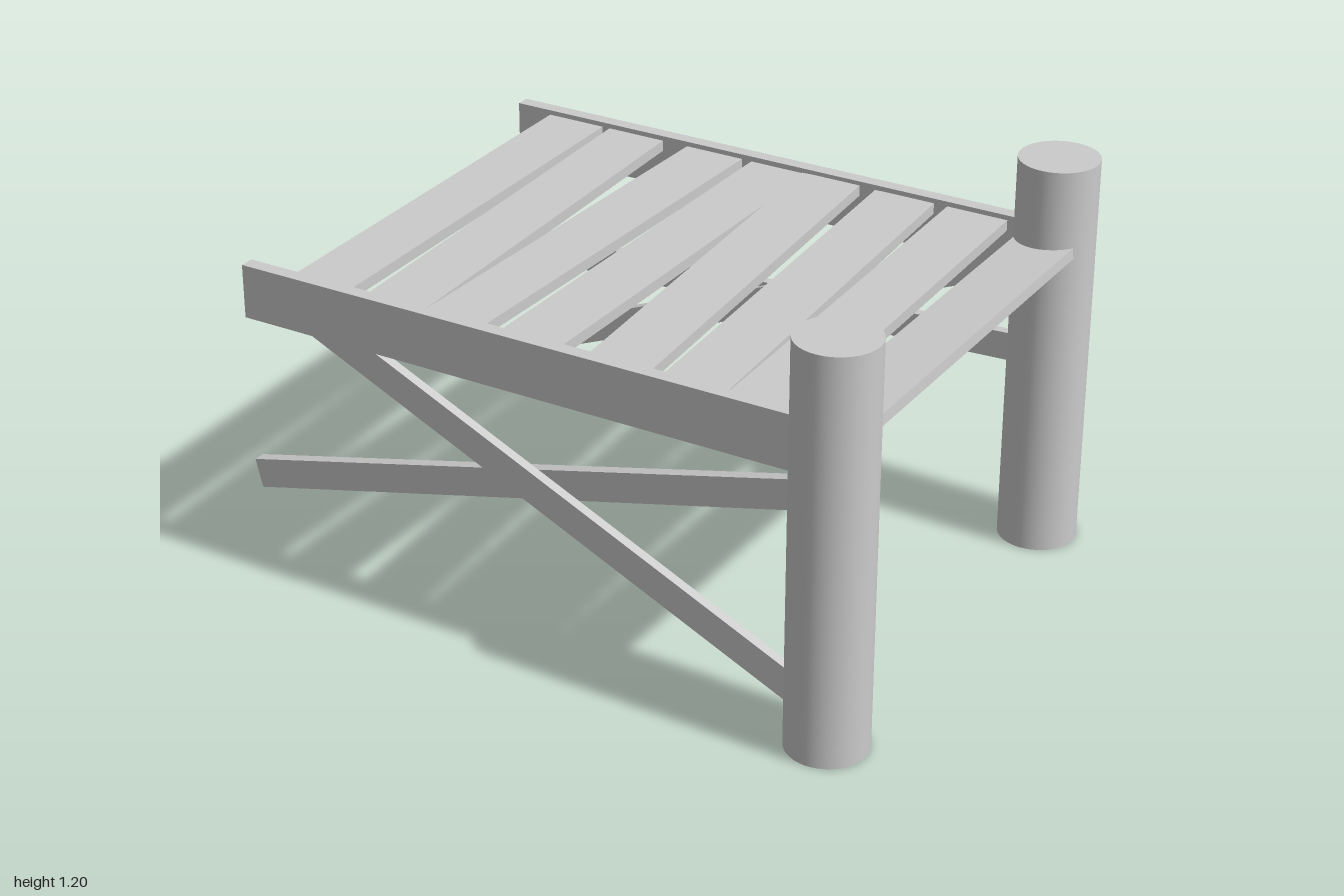
import * as THREE from 'three';

export function createModel() {
  const model = new THREE.Group();
  const mat = new THREE.MeshStandardMaterial({ color: 0xcccccc });

  const add = (name, geometry) => {
    const mesh = new THREE.Mesh(geometry, mat);
    mesh.name = name;
    model.add(mesh);
    return mesh;
  };

  // A rectangular board running along its local x axis between two points
  const board = (name, from, to, height, depth) => {
    const a = new THREE.Vector3(...from), b = new THREE.Vector3(...to);
    const along = b.clone().sub(a);
    const mesh = add(name, new THREE.BoxGeometry(along.length(), height, depth));
    mesh.position.copy(a).add(b).multiplyScalar(0.5);
    const x = along.normalize();
    const z = x.clone().cross(new THREE.Vector3(0, 1, 0)).normalize();
    const y = z.clone().cross(x);
    mesh.quaternion.setFromRotationMatrix(new THREE.Matrix4().makeBasis(x, y, z));
    return mesh;
  };

  // Round posts and side rails, front and back
  for (const [side, s] of [['front', 1], ['back', -1]]) {
    const post = add(side + 'Post', new THREE.CylinderGeometry(0.117, 0.117, 1.2, 40));
    post.position.set(0.88, 0.6, s * 0.657);
    const rail = add(side + 'Rail', new THREE.BoxGeometry(1.72, 0.16, 0.042));
    rail.position.set(-0.08, 0.9, s * 0.692);
  }

  // Deck planks: centre x at the back end, centre x at the front end, centre y
  const planks = [
    [-0.73, -0.705, 0.949], [-0.515, -0.46, 0.949], [-0.24, -0.27, 0.949],
    [-0.018, -0.028, 0.948], [0.155, 0.25, 0.951], [0.397, 0.475, 0.949],
    [0.63, 0.668, 0.949], [0.875, 0.875, 0.946],
  ];
  planks.forEach(([xBack, xFront, y], i) => {
    const plank = board('deckPlank' + (i + 1), [xBack, y, -0.675], [xFront, y, 0.675], 0.033, 0.19);
    // The outermost plank dips a little towards its free edge
    if (i === planks.length - 1) plank.rotateX(0.08);
  });

  // Crossed braces, each buried in its post
  board('frontFallingBrace', [-0.92, 0.925, 0.657], [0.84, 0.117, 0.657], 0.09, 0.03);
  board('frontRisingBrace', [-0.988, 0.28, 0.625], [0.84, 0.73, 0.625], 0.088, 0.034);
  board('backLevelBrace', [-0.99, 0.472, -0.735], [0.84, 0.558, -0.714], 0.087, 0.03);
  board('backRisingBrace', [-0.95, 0.153, -0.706], [0.84, 0.869, -0.712], 0.09, 0.03);

  return model;
}
